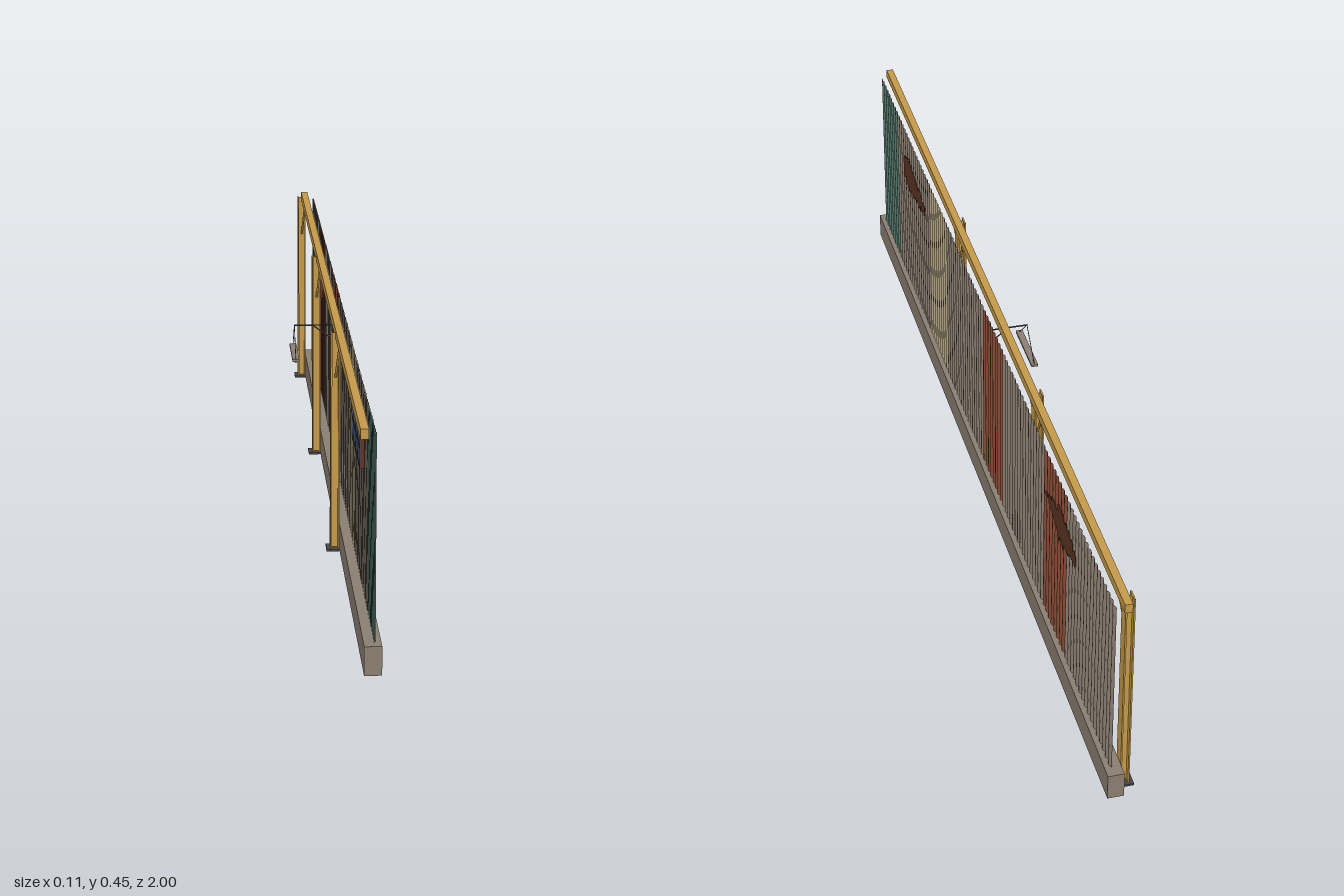
import * as THREE from 'three';

const mat = (name, color, side = THREE.FrontSide) => {
  const m = new THREE.MeshStandardMaterial({ color, side });
  m.name = name;
  return m;
};

export function createModel() {
  const root = new THREE.Group();
  root.name = 'corrugatedWall';
  const D = THREE.DoubleSide;
  const M = {
    timber: mat('ochre paint', 0xc49a4a),
    concrete: mat('concrete', 0x8a7e71),
    grey: mat('grey sheet', 0x8d8073, D),
    teal: mat('teal sheet', 0x56796d, D),
    cream: mat('cream sheet', 0xb5a684, D),
    rust: mat('rust sheet', 0x8c4d37, D),
    stain: mat('dark rust', 0x5c3424),
    steel: mat('dark steel', 0x45474a),
    glass: mat('blue glass', 0x4a6688),
  };

  const add = (parent, name, geo, m) => {
    const mesh = new THREE.Mesh(geo, m);
    mesh.name = name;
    parent.add(mesh);
    return mesh;
  };
  const group = (name) => {
    const g = new THREE.Group();
    g.name = name;
    root.add(g);
    return g;
  };
  // box given by its minimum and maximum corners
  const box = (parent, name, m, a, b) => {
    const mesh = add(parent, name, new THREE.BoxGeometry(b[0] - a[0], b[1] - a[1], b[2] - a[2]), m);
    mesh.position.set((a[0] + b[0]) / 2, (a[1] + b[1]) / 2, (a[2] + b[2]) / 2);
    return mesh;
  };
  // thin round rod between two points
  const rod = (parent, name, m, a, b, r) => {
    const p = new THREE.Vector3(...a), q = new THREE.Vector3(...b);
    const mesh = add(parent, name, new THREE.CylinderGeometry(r, r, p.distanceTo(q), 6), m);
    mesh.position.copy(p).add(q).multiplyScalar(0.5);
    mesh.quaternion.setFromUnitVectors(new THREE.Vector3(0, 1, 0), q.sub(p).normalize());
    return mesh;
  };
  let seed = 7;
  const rand = () => (seed = (seed * 16807) % 2147483647) / 2147483647;

  // footing and top rail
  box(root, 'footing', M.concrete, [0.023, 0, -1], [0.055, 0.055, 1]);
  box(root, 'topRail', M.timber, [0.015, 0.434, -0.99], [0.03, 0.453, 0.993]);

  // corrugated sheets with a trapezoid rib profile
  const colours = ['teal', 'grey', 'grey', 'cream', 'grey', 'grey', 'rust', 'grey', 'grey', 'rust', 'grey', 'grey'];
  const pitch = 1.96 / colours.length, ribs = 8;
  const sheets = group('sheets');
  colours.forEach((c, i) => {
    const geo = new THREE.PlaneGeometry(pitch - 0.001, 0.387, ribs * 4, 1);
    const pos = geo.attributes.position;
    for (let v = 0; v < pos.count; v++) {
      const step = (v % (ribs * 4 + 1)) % 4;
      pos.setZ(v, step === 1 || step === 2 ? 0.0015 : -0.0015);
    }
    geo.rotateY(Math.PI / 2);
    const flat = geo.toNonIndexed();
    flat.computeVertexNormals();
    add(sheets, c + 'Sheet', flat, M[c]).position.set(0.0435, 0.2465, 0.98 - (i + 0.5) * pitch);
  });

  // I-section posts with base plates and braces
  const iShape = new THREE.Shape();
  const pts = [[-9, -13], [-6, -13], [-6, -1.5], [6, -1.5], [6, -13], [9, -13]];
  const outline = [...pts, ...pts.map(([x, z]) => [-x, -z])];
  outline.forEach(([x, z], i) => iShape[i ? 'lineTo' : 'moveTo'](x / 1000, z / 1000));
  for (const z of [-0.96, -0.33, 0.32]) {
    const post = group('post');
    const geo = new THREE.ExtrudeGeometry(iShape, { depth: 0.445, bevelEnabled: false });
    geo.rotateX(-Math.PI / 2);
    add(post, 'postBeam', geo, M.timber).position.set(0.014, 0.002, z);
    box(post, 'basePlate', M.steel, [-0.003, 0, z - 0.018], [0.03, 0.004, z + 0.018]);
    for (const s of z < -0.9 ? [1] : [-1, 1])
      rod(post, 'brace', M.timber, [0.015, 0.358, z + s * 0.004], [0.02, 0.436, z + s * 0.055], 0.0025);
  }

  // windows facing -x: frame, eight panes
  for (const z0 of [0.53, -0.75]) {
    const win = group('window');
    const w = 0.215, y0 = 0.302, h = 0.08, cols = 4, rows = 2, bar = 0.006;
    box(win, 'frameBack', M.stain, [0.034, y0, z0], [0.041, y0 + h, z0 + w]);
    for (let i = 0; i <= cols; i++) {
      const z = z0 + (w - bar) * i / cols;
      box(win, 'upright', M.steel, [0.032, y0, z], [0.0345, y0 + h, z + bar]);
    }
    for (let j = 0; j <= rows; j++) {
      const y = y0 + (h - bar) * j / rows;
      box(win, 'crossBar', M.steel, [0.032, y, z0], [0.0345, y + bar, z0 + w]);
    }
    for (let i = 0; i < cols; i++)
      for (let j = 0; j < rows; j++) {
        const z = z0 + (w - bar) * i / cols + bar, y = y0 + (h - bar) * j / rows + bar;
        box(win, 'pane', M.glass, [0.0333, y, z],
          [0.0338, y + (h - bar) / rows - bar, z + (w - bar) / cols - bar]);
      }
  }

  // ragged rust stains on the outer face, drawn from +z to -z
  const stains = [
    [0.747, [0.06, 0.085, 0.09, 0.085, 0.08, 0.06, 0.05, 0.055, 0.04, 0.03]],
    [-0.51, [0.02, 0.04, 0.055, 0.06, 0.085, 0.09, 0.08, 0.06, 0.055, 0.04]],
  ];
  for (const [z0, heights] of stains) {
    const stain = group('rustStain');
    const step = 0.0215 / 3;
    for (let i = 0; i < heights.length * 3; i++) {
      const h = heights[Math.floor(i / 3)];
      const lo = 0.345 - h / 2 + rand() * 0.012, hi = 0.345 + h / 2 - rand() * 0.012;
      const z = z0 - i * step;
      box(stain, 'stainStrip', M.stain, [0.0448, lo, z - step], [0.0456, hi, z]);
    }
  }

  // hanging lamp on a wall arm
  const lamp = group('lamp');
  rod(lamp, 'lampArm', M.steel, [0.043, 0.379, 0], [-0.051, 0.379, 0], 0.0015);
  rod(lamp, 'armBrace', M.steel, [0.042, 0.339, 0], [-0.012, 0.379, 0], 0.0013);
  for (const s of [-1, 1])
    rod(lamp, 'lampWire', M.steel, [-0.05, 0.379, 0], [-0.05, 0.322, s * 0.06], 0.0008);
  box(lamp, 'lampHousing', M.concrete, [-0.057, 0.318, -0.065], [-0.043, 0.323, 0.065]);
  rod(lamp, 'lampTube', M.cream, [-0.05, 0.317, -0.06], [-0.05, 0.317, 0.06], 0.003);

  return root;
}
